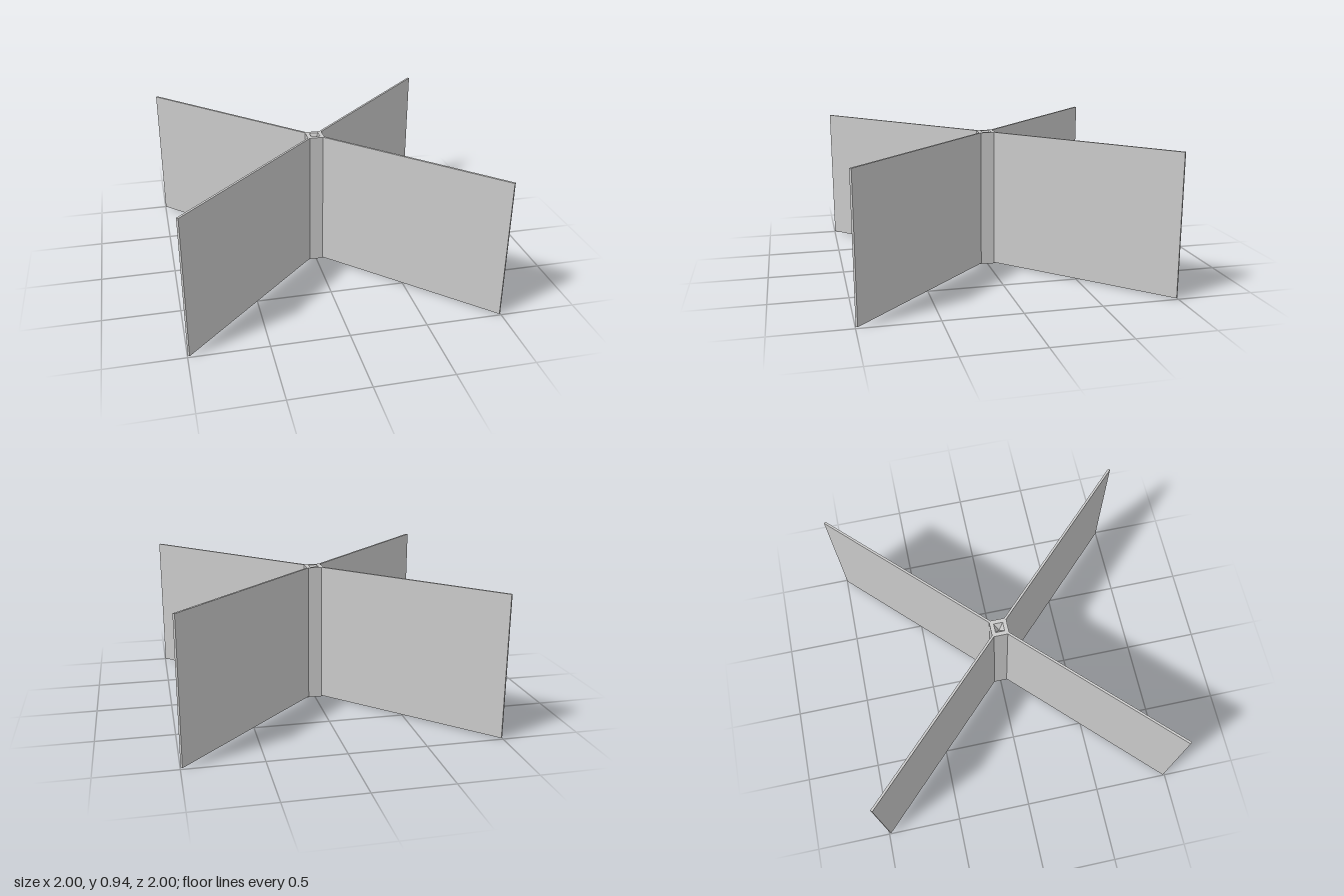
import * as THREE from 'three';

const HEIGHT = 0.935;      // overall height
const POST = 0.056;        // half width of the square post
const PIT = 0.03;          // half width of the recess in its top
const REACH = 0.993;       // x and z reached by the panel centre lines
const THICK = 0.015;

export function createModel() {
  const model = new THREE.Group();
  const material = new THREE.MeshStandardMaterial({ color: 0xcccccc, flatShading: true });

  // Square post with a small pyramid-shaped recess in the top
  const diag = Math.SQRT2;
  const profile = [
    [0, 0], [POST * diag, 0], [POST * diag, HEIGHT], [PIT * diag, HEIGHT], [0, HEIGHT - 0.05],
  ].map(([r, y]) => new THREE.Vector2(r, y));
  const post = new THREE.Mesh(new THREE.LatheGeometry(profile, 4, Math.PI / 4), material);
  post.name = 'centrePost';
  model.add(post);

  // Four thin panels running out from the corners of the post
  const inner = (POST - 0.006) * diag;
  const length = REACH * diag - inner;
  const bottom = 0.007;
  const panelGeometry = new THREE.BoxGeometry(length, HEIGHT - bottom, THICK);
  panelGeometry.translate(inner + length / 2, (HEIGHT + bottom) / 2, 0);
  ['backLeftPanel', 'backRightPanel', 'frontRightPanel', 'frontLeftPanel'].forEach((name, i) => {
    const panel = new THREE.Mesh(panelGeometry, material);
    panel.name = name;
    panel.rotation.y = Math.PI / 4 + i * Math.PI / 2;
    model.add(panel);
  });

  return model;
}
